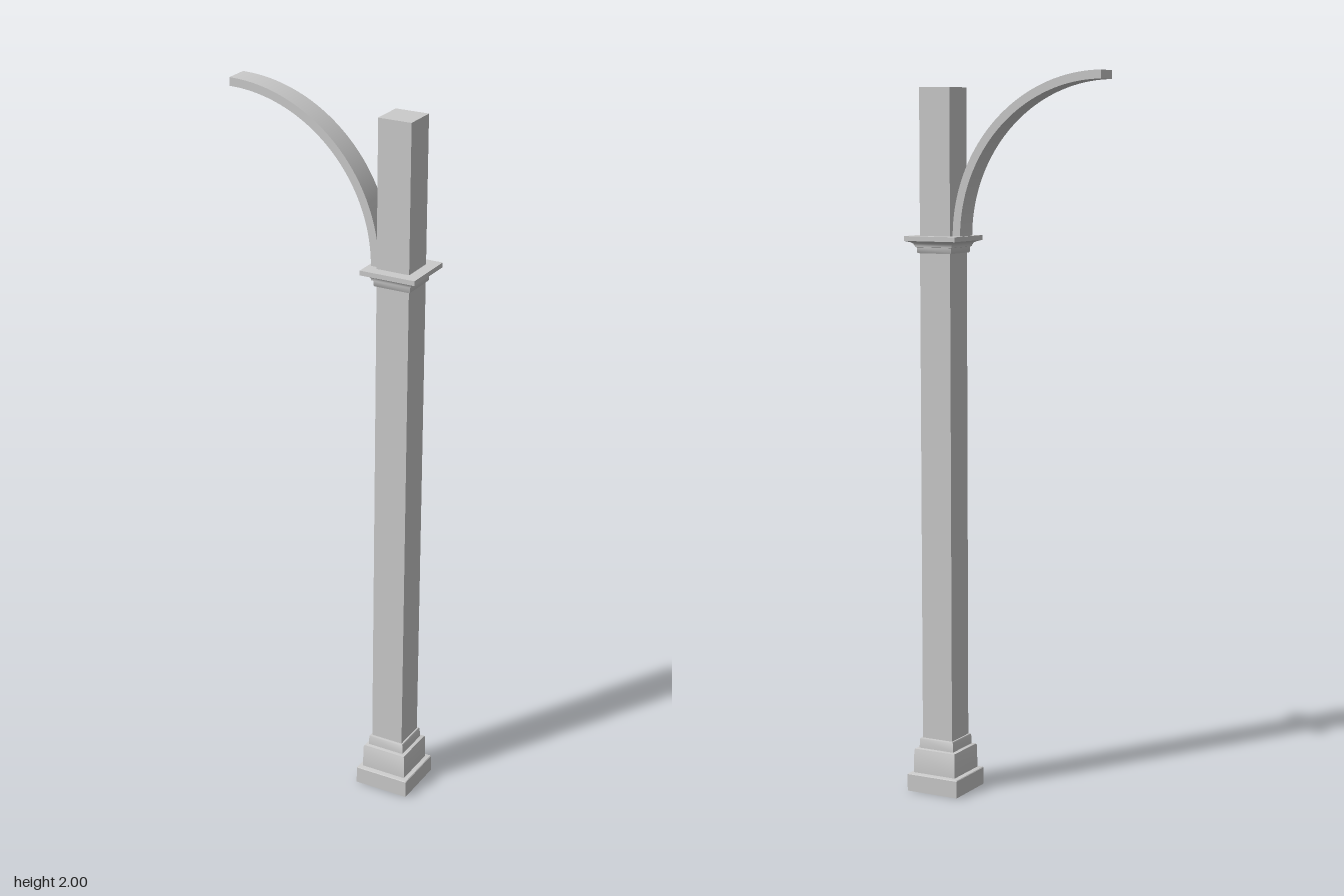
import * as THREE from 'three';
import { toCreasedNormals } from 'three/addons/utils/BufferGeometryUtils.js';

const POST_X = 0.205;
const POST_HALF = 0.047;

export function createModel() {
  const group = new THREE.Group();
  const material = new THREE.MeshStandardMaterial({ color: 0xcccccc });

  const add = (name, geometry, x, y) => {
    const mesh = new THREE.Mesh(geometry, material);
    mesh.name = name;
    mesh.position.set(x, y, 0);
    group.add(mesh);
  };

  // Square moulding swept from a [half width, height] profile, bottom to top
  const squareMoulding = (profile) => {
    const points = profile.map(([half, y]) => new THREE.Vector2(half * Math.SQRT2, y));
    return toCreasedNormals(new THREE.LatheGeometry(points, 4, Math.PI / 4), 0.6);
  };

  // Square post
  add('post', new THREE.BoxGeometry(POST_HALF * 2, 1.955, POST_HALF * 2), POST_X, 0.005 + 1.955 / 2);

  // Stepped plinth
  add('base', squareMoulding([
    [0, 0], [0.079, 0], [0.079, 0.048], [0.077, 0.05], [0.066, 0.052],
    [0.065, 0.115], [0.063, 0.12], [0.054, 0.122], [0.053, 0.148], [0.051, 0.151], [0, 0.151],
  ]), POST_X, 0);

  // Collar with a cove below a thin square ledge
  add('collar', squareMoulding([
    [0, 1.513], [0.051, 1.513], [0.053, 1.516], [0.053, 1.529], [0.057, 1.53],
    [0.058, 1.535], [0.061, 1.54], [0.066, 1.543], [0.072, 1.545],
    [0.079, 1.547], [0.079, 1.56], [0, 1.56],
  ]), POST_X, 0);

  // Quarter-circle bracket springing from the collar
  const outer = 0.442, inner = 0.419, width = 0.068;
  const arc = new THREE.Shape();
  arc.absarc(0, 0, outer, 0, Math.PI / 2, false);
  arc.absarc(0, 0, inner, Math.PI / 2, 0, true);
  arc.closePath();
  const bracket = new THREE.ExtrudeGeometry(arc, { depth: width, bevelEnabled: false, curveSegments: 32 });
  bracket.translate(0, 0, -width / 2);
  add('curvedBracket', toCreasedNormals(bracket, 0.6), -0.285, 1.558);

  return group;
}
